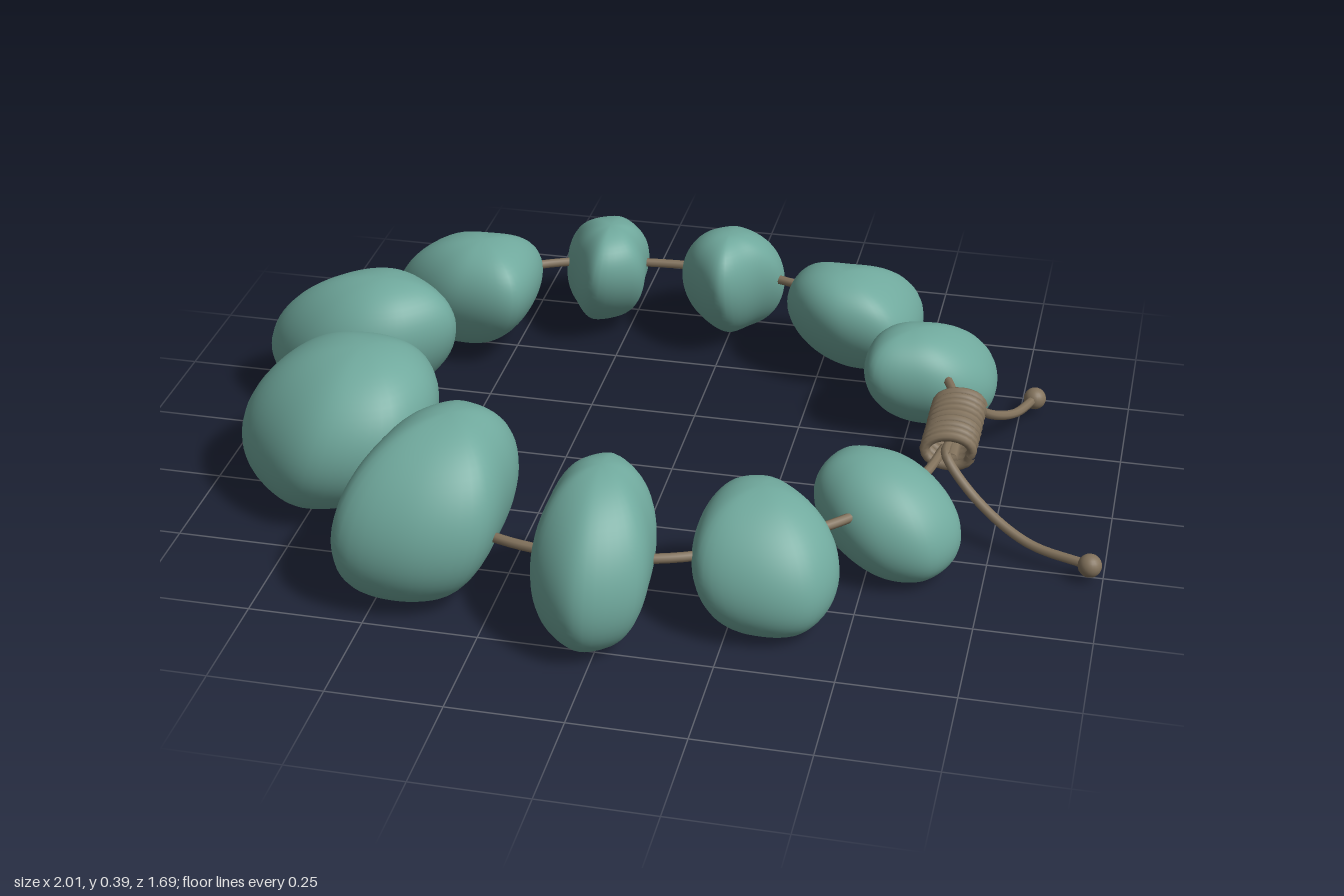
import * as THREE from 'three';
import { mergeVertices } from 'three/addons/utils/BufferGeometryUtils.js';

const stoneMat = new THREE.MeshStandardMaterial({ color: 0x70a99d });
stoneMat.name = 'teal stone';
const cordMat = new THREE.MeshStandardMaterial({ color: 0x82725c });
cordMat.name = 'brown cord';

const V = (x, y, z) => new THREE.Vector3(x, y, z);

// Each stone: centre x, z; top y; half width x, z; four corner radii
const STONES = [
  [-0.315, -0.68, 0.31, 0.1, 0.165, 0.145, 0.1, 0.15, 0.12],
  [0.005, -0.68, 0.315, 0.125, 0.16, 0.11, 0.125, 0.14, 0.14],
  [0.325, -0.57, 0.295, 0.16, 0.15, 0.175, 0.145, 0.185, 0.19],
  [0.545, -0.35, 0.27, 0.14, 0.13, 0.13, 0.175, 0.13, 0.17],
  [-0.62, -0.5, 0.32, 0.175, 0.15, 0.205, 0.14, 0.175, 0.19],
  [-0.78, -0.16, 0.36, 0.22, 0.168, 0.18, 0.175, 0.18, 0.17],
  [-0.705, 0.25, 0.385, 0.218, 0.212, 0.23, 0.19, 0.24, 0.22],
  [-0.4, 0.55, 0.405, 0.165, 0.2, 0.2, 0.23, 0.165, 0.2],
  [-0.02, 0.65, 0.378, 0.122, 0.182, 0.16, 0.15, 0.15, 0.14],
  [0.32, 0.535, 0.305, 0.15, 0.148, 0.155, 0.175, 0.16, 0.13],
  [0.535, 0.295, 0.275, 0.155, 0.128, 0.145, 0.13, 0.16, 0.135],
];
const STONE_BASE = 0.018;
const INWARD_LEAN = 0.08;

// Tumbled pebble: a sphere stretched to an irregular outline, crown leaning inwards
function makeStone([cx, cz, top, rx, rz, c1, c2, c3, c4]) {
  const outline = new THREE.CatmullRomCurve3(
    [rx, c1, rz, c2, rx, c3, rz, c4].map((r, i) => {
      const a = (i * Math.PI) / 4;
      return V(Math.cos(a) * r, 0, Math.sin(a) * r);
    }), true, 'catmullrom', 0.5);
  let geo = new THREE.SphereGeometry(1, 48, 32);
  const pos = geo.attributes.position;
  const p = V(0, 0, 0);
  for (let i = 0; i < pos.count; i++) {
    p.fromBufferAttribute(pos, i);
    const turn = (Math.atan2(p.z, p.x) / (2 * Math.PI) + 1) % 1;
    const wide = Math.pow(Math.hypot(p.x, p.z), 0.94);
    const edge = outline.getPoint(turn);
    const lean = 1 - INWARD_LEAN * p.y;
    pos.setXYZ(i,
      cx * lean + edge.x * wide,
      (STONE_BASE + top) / 2 + p.y * (top - STONE_BASE) / 2,
      cz * lean + edge.z * wide);
  }
  // Weld the seam so the shading stays smooth
  geo.deleteAttribute('uv');
  geo.deleteAttribute('normal');
  geo = mergeVertices(geo, 1e-5);
  geo.computeVertexNormals();
  return new THREE.Mesh(geo, stoneMat);
}

function makeCord(name, points, radius, segments) {
  const curve = new THREE.CatmullRomCurve3(points);
  const mesh = new THREE.Mesh(new THREE.TubeGeometry(curve, segments, radius, 8), cordMat);
  mesh.name = name;
  return mesh;
}

export function createModel() {
  const model = new THREE.Group();
  model.name = 'stoneBracelet';

  // Stones
  const stones = new THREE.Group();
  stones.name = 'stones';
  STONES.forEach((s, i) => {
    const stone = makeStone(s);
    stone.name = `stone${i + 1}`;
    stones.add(stone);
  });
  model.add(stones);

  // Cord threaded through the stones, from one end of the knot to the other
  const ring = [
    [0.63, -0.1], [0.6, -0.23], [0.47, -0.45], [0.15, -0.655], [-0.16, -0.69],
    [-0.48, -0.61], [-0.72, -0.32], [-0.785, 0.03], [-0.72, 0.27], [-0.55, 0.45],
    [-0.19, 0.64], [0.13, 0.625], [0.44, 0.42], [0.59, 0.2], [0.625, 0.06],
  ];
  model.add(makeCord('threadedCord', ring.map(([x, z]) => V(x, 0.187, z)), 0.011, 160));

  // Wrapped sliding knot
  const turns = 9;
  const coil = [];
  for (let i = 0; i <= turns * 12; i++) {
    const t = i / (turns * 12);
    const a = t * turns * 2 * Math.PI;
    coil.push(V(0.635 + 0.052 * Math.cos(a), 0.19 + 0.033 * Math.sin(a), -0.138 + 0.226 * t));
  }
  model.add(makeCord('knotWrap', coil, 0.0115, turns * 24));
  model.add(makeCord('knotCore', [V(0.645, 0.19, -0.16), V(0.645, 0.19, 0.11)], 0.016, 6));

  // Loose tails with end beads
  const tails = [
    [V(0.645, 0.2, -0.1), V(0.645, 0.195, -0.155), V(0.69, 0.12, -0.23), V(0.745, 0.066, -0.34), V(0.782, 0.055, -0.44)],
    [V(0.635, 0.2, 0.05), V(0.635, 0.195, 0.105), V(0.71, 0.12, 0.15), V(0.83, 0.062, 0.21), V(0.97, 0.055, 0.262)],
  ];
  tails.forEach((points, i) => {
    const tail = new THREE.Group();
    tail.name = i ? 'frontTail' : 'backTail';
    const bead = new THREE.Mesh(new THREE.SphereGeometry(0.026, 20, 14), cordMat);
    bead.name = 'endBead';
    bead.position.copy(points[points.length - 1]);
    tail.add(makeCord('tailCord', points, 0.011, 40), bead);
    model.add(tail);
  });

  return model;
}
